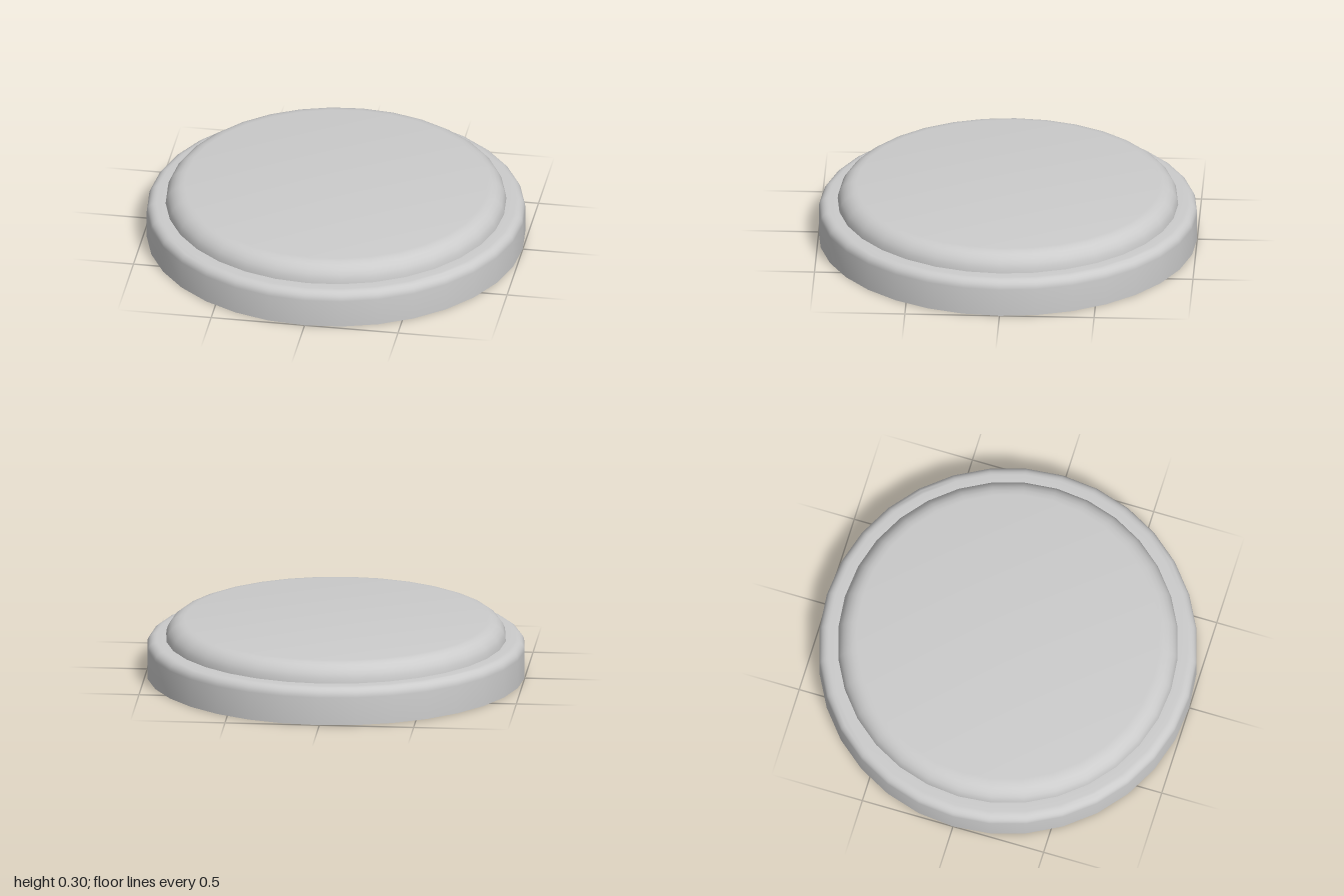
import * as THREE from 'three';
import { toCreasedNormals } from 'three/addons/utils/BufferGeometryUtils.js';

const SIDES = 32;
const material = new THREE.MeshStandardMaterial({ color: 0xcccccc });

// Quarter-round from the vertical side to the flat top, as profile points
function roundedEdge(radius, top, fillet, steps = 6) {
  const points = [];
  for (let i = 0; i <= steps; i++) {
    const a = (i / steps) * Math.PI / 2;
    points.push(new THREE.Vector2(
      radius - fillet + fillet * Math.cos(a),
      top - fillet + fillet * Math.sin(a)
    ));
  }
  return points;
}

function turned(name, profile) {
  const geometry = toCreasedNormals(new THREE.LatheGeometry(profile, SIDES), Math.PI / 5);
  const mesh = new THREE.Mesh(geometry, material);
  mesh.name = name;
  return mesh;
}

export function createModel() {
  const model = new THREE.Group();
  model.name = 'steppedDisc';

  // Wide base: flat underside, straight wall, small rounded rim, ledge
  model.add(turned('base', [
    new THREE.Vector2(0, 0),
    new THREE.Vector2(1, 0),
    ...roundedEdge(1, 0.2, 0.05),
    new THREE.Vector2(0.9, 0.2),
  ]));

  // Raised centre with a fully rounded edge and flat top
  model.add(turned('raisedTop', [
    ...roundedEdge(0.9, 0.3, 0.1),
    new THREE.Vector2(0, 0.3),
  ]));

  return model;
}
